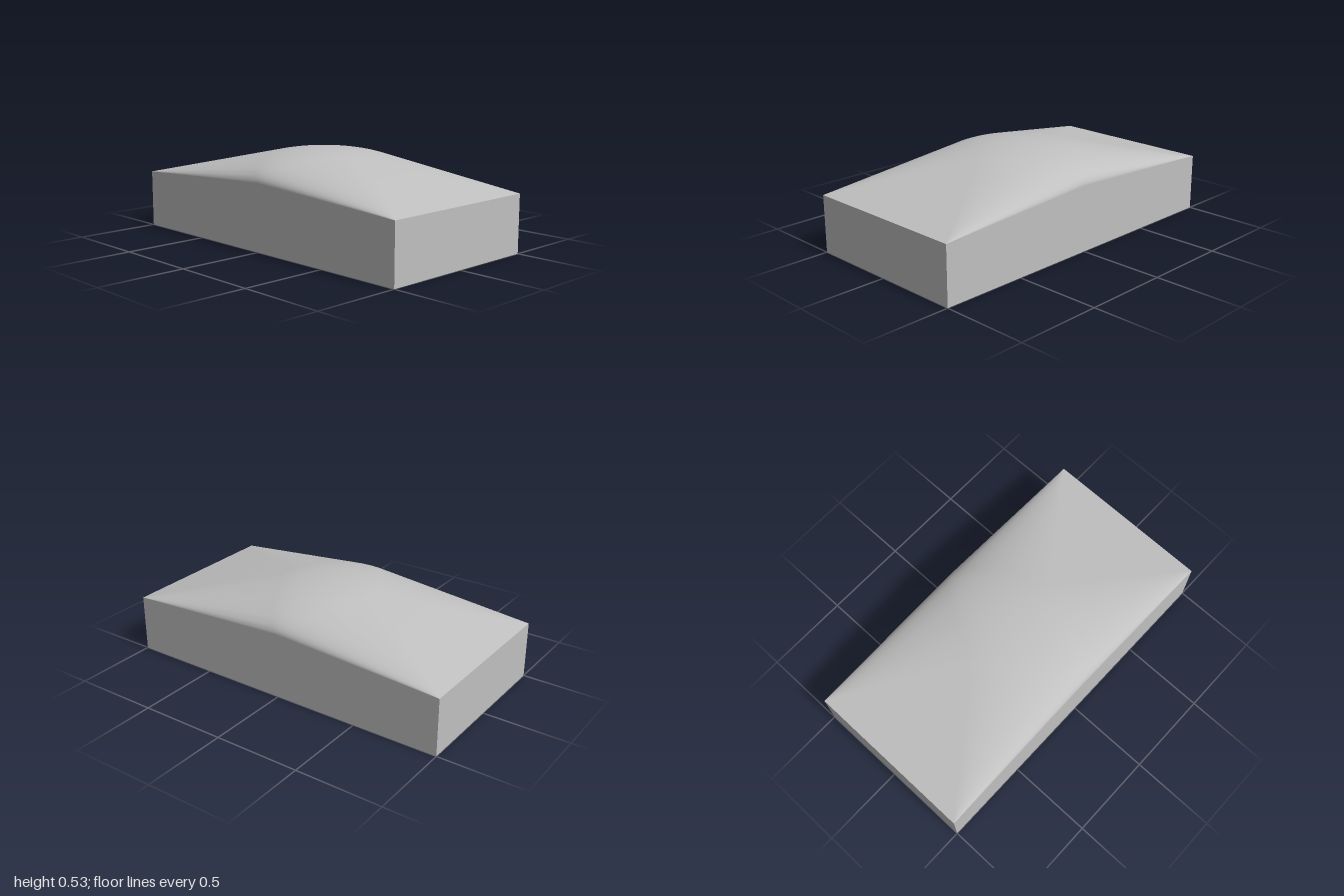
import * as THREE from 'three';
import { ConvexGeometry } from 'three/addons/geometries/ConvexGeometry.js';

const WALL = 0.333;                       // height of the four corners
const DOME = { r: 0.5, h: 0.15, y: 0.383 }; // flattened dome swelling out of the top

export function createModel() {
  const grey = new THREE.MeshStandardMaterial({ color: 0xc0c0c0 });
  grey.name = 'plain grey';

  // Corners of the block
  const points = [];
  for (const x of [-1, 1]) for (const z of [-0.5, 0.5]) for (const y of [0, WALL])
    points.push(new THREE.Vector3(x, y, z));

  // Rings of the flattened dome, stretched to the corners by the hull
  const around = 96, rings = 24;
  for (let j = 0; j < rings; j++) {
    const v = (j / rings) * Math.PI / 2;
    for (let i = 0; i < around; i++) {
      const u = (i / around) * Math.PI * 2;
      points.push(new THREE.Vector3(
        DOME.r * Math.cos(v) * Math.sin(u),
        DOME.y + DOME.h * Math.sin(v),
        DOME.r * Math.cos(v) * Math.cos(u)));
    }
  }
  points.push(new THREE.Vector3(0, DOME.y + DOME.h, 0));

  const geometry = new ConvexGeometry(points);

  // Smooth the top: dome points take the dome's own normal, walls stay flat
  const pos = geometry.attributes.position, nor = geometry.attributes.normal;
  const n = new THREE.Vector3();
  for (let i = 0; i < pos.count; i++) {
    const onDome = Math.abs(pos.getX(i)) < 0.9 && pos.getY(i) > WALL;
    if (!onDome || nor.getY(i) < 0.01) continue;
    n.set(pos.getX(i) / DOME.r ** 2, (pos.getY(i) - DOME.y) / DOME.h ** 2, pos.getZ(i) / DOME.r ** 2).normalize();
    nor.setXYZ(i, n.x, n.y, n.z);
  }

  const body = new THREE.Mesh(geometry, grey);
  body.name = 'domedBlock';
  const group = new THREE.Group();
  group.name = 'domeToppedBlock';
  group.add(body);
  return group;
}
